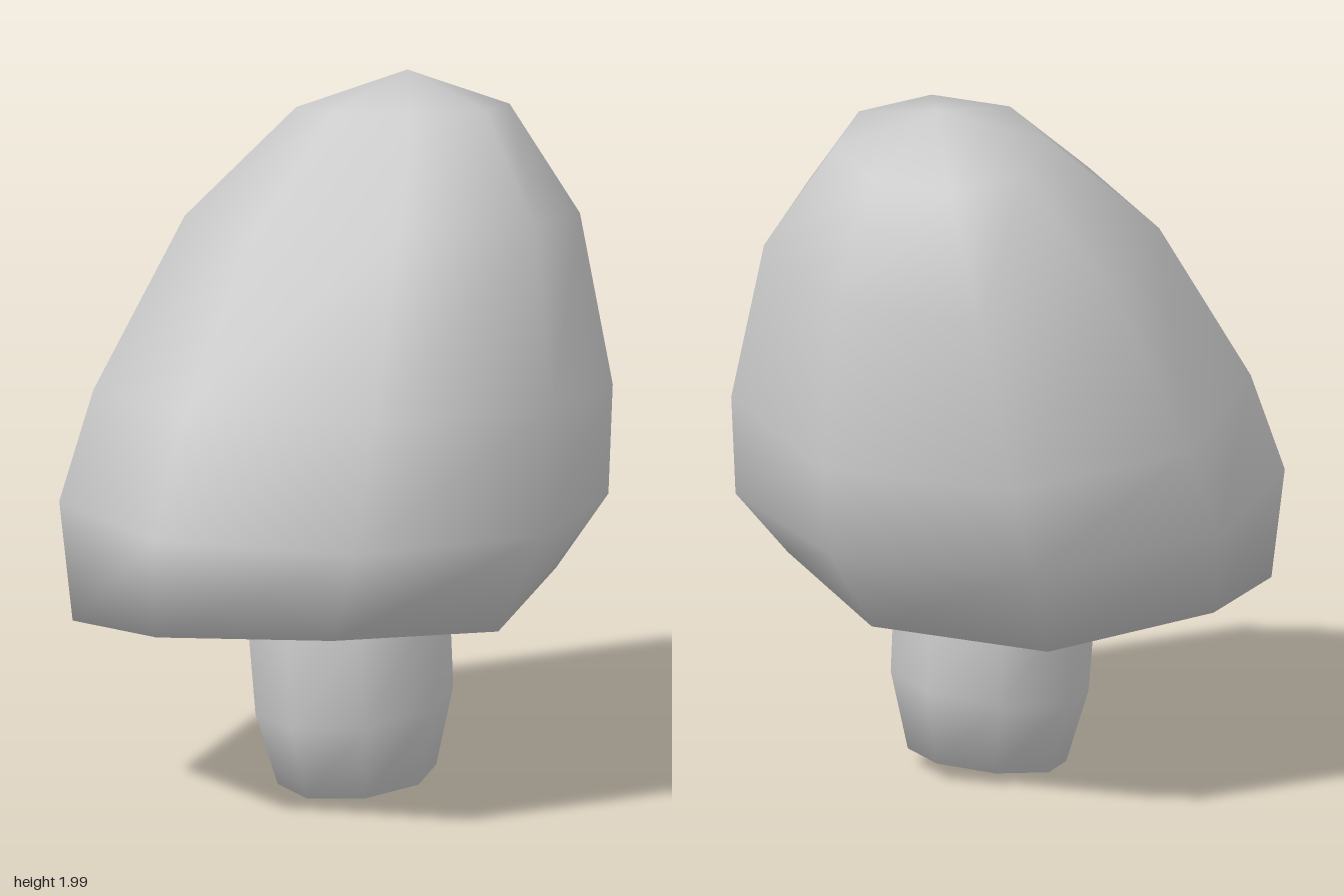
import * as THREE from 'three';

const SIDES = 8;
const material = new THREE.MeshStandardMaterial({ color: 0xcccccc });

// Smooth closed skin over tilted rings, listed bottom to top, with a fan at each pole.
// Ring: centre x, y, z, radii rx, rz, slopes sx, sz (tilt along x and z), optional height offsets.
function skin(name, bottom, rings, top) {
  const pos = [];
  const index = [];
  for (const { x, y, z, rx, rz, sx = 0, sz = 0, offsets = [] } of rings) {
    for (let j = 0; j < SIDES; j++) {
      const a = (j / SIDES) * Math.PI * 2;
      const dx = Math.cos(a) * rx;
      const dz = Math.sin(a) * rz;
      pos.push(x + dx, y + dx * sx + dz * sz + (offsets[j] ?? 0), z + dz);
    }
  }
  const low = rings.length * SIDES;
  const last = low - SIDES;
  pos.push(...bottom, ...top);
  for (let j = 0; j < SIDES; j++) {
    const k = (j + 1) % SIDES;
    for (let i = 0; i < last; i += SIDES) {
      index.push(i + j, i + SIDES + j, i + k);
      index.push(i + k, i + SIDES + j, i + SIDES + k);
    }
    index.push(low, j, k);
    index.push(low + 1, last + k, last + j);
  }
  const geometry = new THREE.BufferGeometry();
  geometry.setAttribute('position', new THREE.Float32BufferAttribute(pos, 3));
  geometry.setIndex(index);
  geometry.computeVertexNormals();
  const mesh = new THREE.Mesh(geometry, material);
  mesh.name = name;
  return mesh;
}

export function createModel() {
  const group = new THREE.Group();
  group.name = 'mushroom';

  // Stem: slightly bulging, with a sloped foot and its top hidden in the cap
  group.add(skin('stem', [0.01, 0.03, 0.05], [
    { x: 0.01, y: 0.035, z: 0.055, rx: 0.22, rz: 0.225, sx: 0.11, sz: 0.04 },
    { x: 0.005, y: 0.25, z: 0.05, rx: 0.275, rz: 0.28, sx: 0.11, sz: 0.07 },
    { x: -0.01, y: 0.53, z: 0.04, rx: 0.28, rz: 0.288, sx: 0.1, sz: 0.02 },
    { x: -0.01, y: 0.65, z: 0.04, rx: 0.23, rz: 0.235 },
  ], [-0.01, 0.68, 0.04]));

  // Cap: leaning dome with an uneven rim and a shallow hollow underside
  group.add(skin('cap', [-0.08, 0.62, 0], [
    { x: -0.11, y: 0.57, z: 0, rx: 0.69, rz: 0.67,
      offsets: [-0.02, 0.06, 0.01, 0.05, 0.02, -0.055, -0.01, -0.05] },
    { x: -0.025, y: 0.835, z: 0, rx: 0.785, rz: 0.76, sx: -0.045, sz: 0.026 },
    { x: 0.065, y: 1.135, z: -0.005, rx: 0.735, rz: 0.725, sx: -0.1, sz: 0.08 },
    { x: 0.205, y: 1.605, z: -0.015, rx: 0.555, rz: 0.555, sx: -0.135, sz: 0.11 },
    { x: 0.3, y: 1.9, z: -0.02, rx: 0.3, rz: 0.3, sx: -0.13, sz: 0.12 },
  ], [0.32, 2, -0.02]));

  return group;
}
